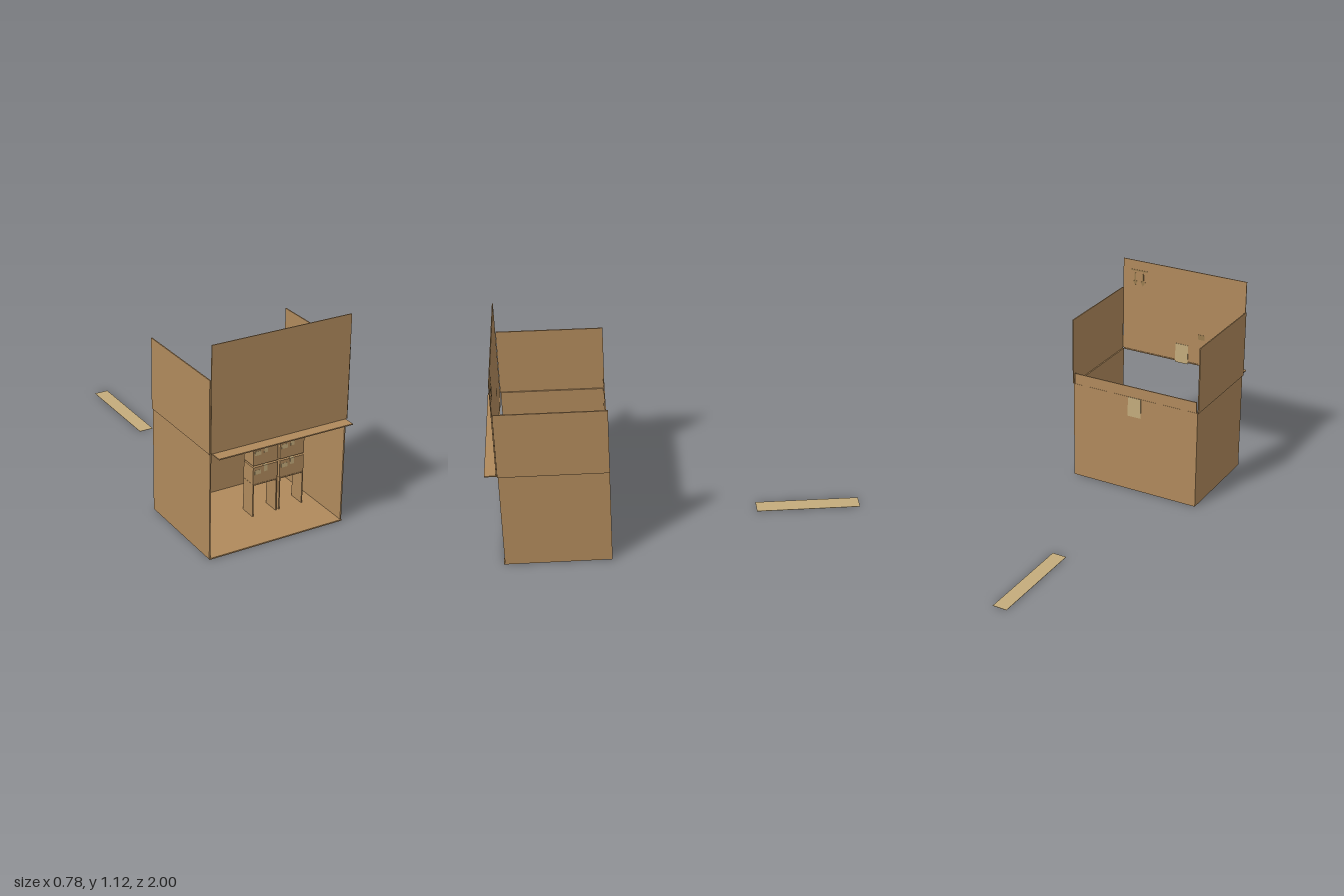
import * as THREE from 'three';

const cardboard = new THREE.MeshStandardMaterial({ color: 0xb08a5c });
cardboard.name = 'cardboard';
const tape = new THREE.MeshStandardMaterial({ color: 0xc4ac7c });
tape.name = 'packing tape';
const print = new THREE.MeshStandardMaterial({ color: 0x9a7c50 });
print.name = 'faded print';

// Box given by its low and high corner on each axis
function slab(parent, name, material, [x0, x1], [y0, y1], [z0, z1]) {
  const mesh = new THREE.Mesh(new THREE.BoxGeometry(x1 - x0, y1 - y0, z1 - z0), material);
  mesh.position.set((x0 + x1) / 2, (y0 + y1) / 2, (z0 + z1) / 2);
  mesh.name = name;
  parent.add(mesh);
  return mesh;
}

// Closed carton with a strip of tape over the top and a label on the front
function smallCarton(x, y0, y1) {
  const carton = new THREE.Group();
  carton.name = 'smallCarton';
  const z0 = 0.605, z1 = 0.695, t = 0.001;
  const strip = [x + 0.062, x + 0.084];
  slab(carton, 'cartonBody', cardboard, [x, x + 0.143], [y0, y1], [z0, z1]);
  slab(carton, 'cartonTopTape', tape, strip, [y1, y1 + t], [z0 - t, z1 + t]);
  slab(carton, 'cartonFrontTape', tape, strip, [y1 - 0.034, y1], [z1, z1 + t]);
  slab(carton, 'cartonBackTape', tape, strip, [y1 - 0.034, y1], [z0 - t, z0]);
  slab(carton, 'cartonLabel', tape, [x + 0.009, x + 0.045], [y1 - 0.041, y1 - 0.018], [z1, z1 + t]);
  return carton;
}

// Stand made of two upright panels and a top
function stand(x) {
  const group = new THREE.Group();
  group.name = 'stand';
  const z = [0.605, 0.695];
  for (const left of [x, x + 0.137]) slab(group, 'standLeg', cardboard, [left, left + 0.006], [0.007, 0.183], z);
  slab(group, 'standTop', cardboard, [x, x + 0.143], [0.183, 0.189], z);
  return group;
}

// Downward arrow of the handling mark
function arrow(parent, x, z) {
  slab(parent, 'arrowShaft', print, [x - 0.005, x + 0.005], [1.0, 1.05], [z - 0.001, z]);
  const head = new THREE.Shape([
    new THREE.Vector2(x - 0.016, 1.003), new THREE.Vector2(x, 0.975), new THREE.Vector2(x + 0.016, 1.003),
  ]);
  const mesh = new THREE.Mesh(new THREE.ExtrudeGeometry(head, { depth: 0.001, bevelEnabled: false }), print);
  mesh.position.z = z - 0.001;
  mesh.name = 'arrowHead';
  parent.add(mesh);
}

export function createModel() {
  const model = new THREE.Group();
  model.name = 'openCardboardBox';

  // Box shell, open at the front and the top
  const shell = new THREE.Group();
  shell.name = 'boxShell';
  model.add(shell);
  slab(shell, 'floor', cardboard, [-0.383, 0.383], [0, 0.007], [0.37, 0.936]);
  slab(shell, 'backWall', cardboard, [-0.383, 0.383], [0.007, 0.57], [0.37, 0.377]);
  for (const s of [-1, 1]) {
    const wall = slab(shell, 'sideWall', cardboard, [0.376, 0.383], [0.007, 0.57], [0.377, 0.931]);
    wall.position.x *= s;
    const flap = slab(shell, 'sideFlap', cardboard, [0.383, 0.389], [0.57, 0.949], [0.37, 0.934]);
    flap.position.x *= s;
  }

  // Raised front flap and the two short inner flaps
  slab(shell, 'frontFlap', cardboard, [-0.383, 0.383], [0.573, 1.125], [0.935, 0.94]);
  slab(shell, 'frontLip', cardboard, [-0.375, 0.375], [0.567, 0.573], [0.931, 1.0]);
  slab(shell, 'backLip', cardboard, [-0.375, 0.375], [0.57, 0.632], [0.371, 0.377]);

  // Tape left on the box and a loose strip behind it
  slab(model, 'backTape', tape, [-0.04, 0.04], [0.455, 0.57], [0.368, 0.37]);
  slab(model, 'frontFlapTape', tape, [-0.04, 0.04], [0.56, 0.675], [0.929, 0.931]);
  slab(model, 'looseTape', tape, [-0.04, 0.04], [0, 0.002], [-1, -0.432]);

  // Handling marks inside the front flap
  const marks = new THREE.Group();
  marks.name = 'handlingMarks';
  model.add(marks);
  slab(marks, 'markBar', print, [0.23, 0.335], [1.062, 1.07], [0.934, 0.935]);
  for (const x of [0.258, 0.307]) arrow(marks, x, 0.935);
  slab(marks, 'markPatch', print, [-0.14, -0.1], [0.725, 0.755], [0.934, 0.935]);

  // Two stands, each with two stacked cartons
  for (const x of [0.005, 0.161]) {
    model.add(stand(x), smallCarton(x, 0.19, 0.284), smallCarton(x, 0.294, 0.39));
  }
  return model;
}
